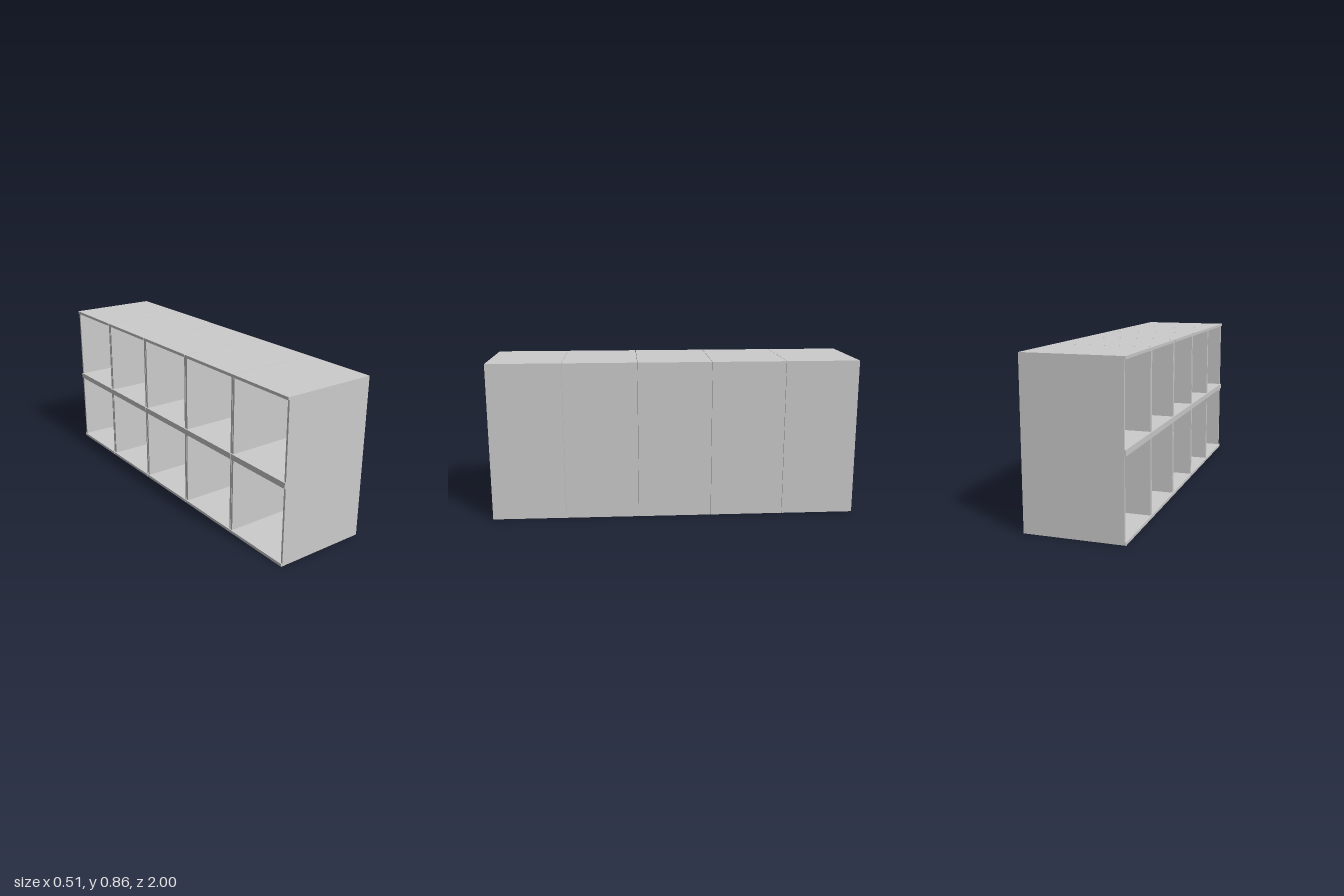
import * as THREE from 'three';

const COLUMNS = 5, PITCH = 0.4, GAP = 0.002;
const HEIGHT = 0.86, BACK = 0.255, EDGE = -0.25, LIP = -0.257;
const BOARD = 0.015, WALL = 0.011;

const material = new THREE.MeshStandardMaterial({ color: 0xcccccc });

// Box given by its minimum and maximum corners
function panel(name, [x0, y0, z0], [x1, y1, z1]) {
  const mesh = new THREE.Mesh(new THREE.BoxGeometry(x1 - x0, y1 - y0, z1 - z0), material);
  mesh.position.set((x0 + x1) / 2, (y0 + y1) / 2, (z0 + z1) / 2);
  mesh.name = name;
  return mesh;
}

// One column: two stacked compartments, open towards -x
function createColumn() {
  const column = new THREE.Group();
  const half = (PITCH - GAP) / 2;
  const inner = half - WALL;
  const back = BACK - WALL;

  // Side walls and back panel
  column.add(
    panel('sideWall', [EDGE, 0.002, -half], [BACK, HEIGHT, -inner]),
    panel('sideWall', [EDGE, 0.002, inner], [BACK, HEIGHT, half]),
    panel('backPanel', [back, 0.002, -inner], [BACK, HEIGHT, inner])
  );

  // Horizontal boards, each with a lip running past the side walls
  const boards = [
    ['bottomBoard', 0.002, 0.002 + BOARD],
    ['middleShelf', HEIGHT / 2 - BOARD, HEIGHT / 2 + BOARD],
    ['topBoard', HEIGHT - BOARD, HEIGHT],
  ];
  for (const [name, y0, y1] of boards) {
    column.add(panel(name, [EDGE, y0, -inner], [back, y1, inner]));
    column.add(panel(name + 'Lip', [LIP, y0, -half], [EDGE, y1, half]));
  }
  return column;
}

export function createModel() {
  const model = new THREE.Group();
  model.name = 'shelfUnit';
  for (let i = 0; i < COLUMNS; i++) {
    const column = createColumn();
    column.name = 'column' + (i + 1);
    column.position.set(0.001, -0.002, (i - (COLUMNS - 1) / 2) * PITCH);
    model.add(column);
  }
  return model;
}
